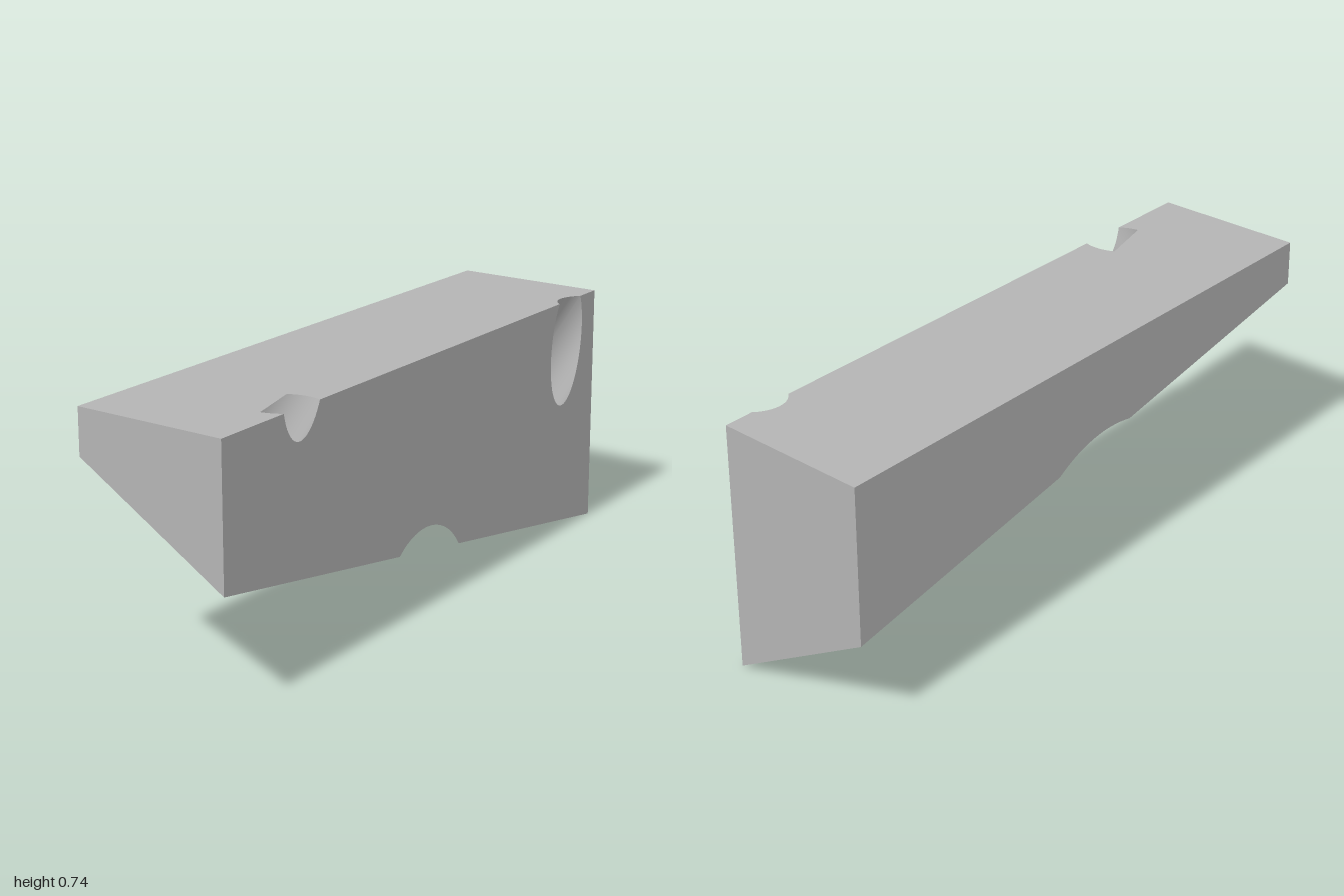
import * as THREE from 'three';

const V3 = (x, y, z) => new THREE.Vector3(x, y, z);
const UP = V3(0, 1, 0);

// Frame of the sloping underside: U along, V across to the front, N up through the block
const U = V3(0.953, -0.162, -0.2587).normalize();
const N = V3(0.152, -0.491, 0.857).cross(U).normalize();
const V = U.clone().cross(N);
const MID = V3(0, 0.3, 0);
const HALF_L = 1.005, HALF_W = 0.28, TOP = 0.735;
const FRONT = U.clone().cross(UP).normalize();
const END = UP.clone().cross(V).normalize();
const neg = (v) => v.clone().negate();

const at = (u, v, n = 0) =>
  MID.clone().addScaledVector(U, u).addScaledVector(V, v).addScaledVector(N, n);
const lift = (p) => V3(p.x, TOP, p.z);
const span = (a, b, n, f) => Array.from({ length: n + 1 }, (_, i) => f(a + (b - a) * i / n));

// Flat face from a loop of coplanar points, facing along normal
function flatFace(normal, loop, hole) {
  const q = new THREE.Quaternion().setFromUnitVectors(V3(0, 0, 1), normal);
  const inv = q.clone().invert();
  const flat = (pts) => pts.map((p) => {
    const r = p.clone().applyQuaternion(inv);
    return new THREE.Vector2(r.x, r.y);
  });
  const shape = new THREE.Shape(flat(loop));
  if (hole) shape.holes.push(new THREE.Path(flat(hole)));
  return new THREE.ShapeGeometry(shape)
    .translate(0, 0, loop[0].dot(normal))
    .applyQuaternion(q);
}

// Smooth skin over closed rings of points
function skin(rings) {
  const n = rings[0].length, pos = [], idx = [];
  rings.forEach((r) => r.forEach((p) => pos.push(p.x, p.y, p.z)));
  for (let j = 0; j < rings.length - 1; j++) {
    for (let i = 0; i < n; i++) {
      const k = (i + 1) % n;
      const a = j * n + i, b = a + n, c = (j + 1) * n + k, d = j * n + k;
      idx.push(a, b, c, a, c, d);
    }
  }
  const g = new THREE.BufferGeometry();
  g.setAttribute('position', new THREE.Float32BufferAttribute(pos, 3));
  g.setIndex(idx);
  g.computeVertexNormals();
  return g;
}

// Round bolt hole square to the underside, leaving through the top and front faces
function boltHole(u) {
  const r = 0.096, corner = at(HALF_L, HALF_W);
  const base = (t) => at(u + r * Math.cos(t), r * Math.sin(t));
  const tTop = (p) => (TOP - p.y) / N.y;
  const tFront = (p) => corner.clone().sub(p).dot(FRONT) / N.dot(FRONT);
  const gap = (p) => tTop(p) - tFront(p);
  // angles where the rim crosses the edge between top and front
  const d0 = gap(at(u, 0)), d1 = gap(at(u + r, 0)) - d0, d2 = gap(at(u, r)) - d0;
  const mid = Math.atan2(d2, d1), half = Math.acos(-d0 / Math.hypot(d1, d2));
  const rim = (dist) => (t) => {
    const p = base(t);
    return p.clone().addScaledVector(N, dist(p));
  };
  const a = mid - half, b = mid + half, c = a + 2 * Math.PI, n = 40;
  const front = span(a, b, n, rim(tFront));
  const top = span(b, c, n, rim(tTop));
  const mouth = [...span(a, b, n, base).slice(0, -1), ...span(b, c, n, base).slice(0, -1)];
  const exit = [...front.slice(0, -1), ...top.slice(0, -1)];
  return { front, top, mouth, wall: skin([exit, mouth]) };
}

// Spherical hollow in the underside, clipped by the front and back faces
function hollow() {
  const depth = 0.336, rimR = 0.325, R = Math.hypot(depth, rimR);
  const phiC = Math.asin(HALF_W / rimR), centre = at(0, 0, -depth);
  const point = (phi, psi) => at(
    R * Math.sin(psi) * Math.cos(phi),
    R * Math.sin(psi) * Math.sin(phi),
    R * Math.cos(psi) - depth);
  const clip = (normal, v) => (phi) => {
    const a = normal.dot(V) * Math.sin(phi), b = normal.dot(N);
    const e = at(0, v).sub(centre).dot(normal) / R;
    return Math.atan2(a, b) - Math.acos(Math.min(1, e / Math.hypot(a, b)));
  };
  const low = () => Math.acos(depth / R);
  const P = Math.PI;
  const parts = [
    [-phiC, phiC, low],
    [phiC, P - phiC, clip(FRONT, HALF_W)],
    [P - phiC, P + phiC, low],
    [P + phiC, 2 * P - phiC, clip(neg(FRONT), -HALF_W)],
  ].map(([a, b, f]) => span(a, b, 28, (phi) => [phi, f(phi)]));
  const limits = parts.flatMap((s) => s.slice(0, -1));
  const rings = span(0.002, 1, 16, (k) => limits.map(([phi, psi]) => point(phi, psi * k)));
  const [right, front, left, back] = parts.map((s) => s.map(([phi, psi]) => point(phi, psi)));
  return { right, front, left, back, wall: skin(rings) };
}

export function createModel() {
  const grey = new THREE.MeshStandardMaterial({ color: 0xb4b4b4 });
  const group = new THREE.Group();
  group.name = 'wedgeBlock';
  const add = (name, geometry) => {
    const mesh = new THREE.Mesh(geometry, grey);
    mesh.name = name;
    group.add(mesh);
  };
  grey.name = 'grey';

  // Underside corners
  const backRight = at(-HALF_L, -HALF_W), backLeft = at(HALF_L, -HALF_W);
  const frontLeft = at(HALF_L, HALF_W), frontRight = at(-HALF_L, HALF_W);
  const h1 = boltHole(-0.73), h2 = boltHole(0.73), dome = hollow();
  const rev = (a) => [...a].reverse();

  // Outer faces
  add('topFace', flatFace(UP, [
    lift(frontRight), ...h1.top, ...h2.top, lift(frontLeft), lift(backLeft), lift(backRight)]));
  add('frontFace', flatFace(FRONT, [
    frontRight, ...rev(dome.front), frontLeft, lift(frontLeft),
    ...h2.front, ...h1.front, lift(frontRight)]));
  add('backFace', flatFace(neg(FRONT), [
    backLeft, ...rev(dome.back), backRight, lift(backRight), lift(backLeft)]));
  add('leftEnd', flatFace(END, [frontLeft, backLeft, lift(backLeft), lift(frontLeft)]));
  add('rightEnd', flatFace(neg(END), [backRight, frontRight, lift(frontRight), lift(backRight)]));

  // Underside, in two pads either side of the hollow
  add('rightPad', flatFace(neg(N), [backRight, ...rev(dome.left), frontRight], h1.mouth));
  add('leftPad', flatFace(neg(N), [backLeft, frontLeft, ...rev(dome.right)], h2.mouth));

  // Inner walls
  add('rightBoltHole', h1.wall);
  add('leftBoltHole', h2.wall);
  add('roundHollow', dome.wall);
  return group;
}
